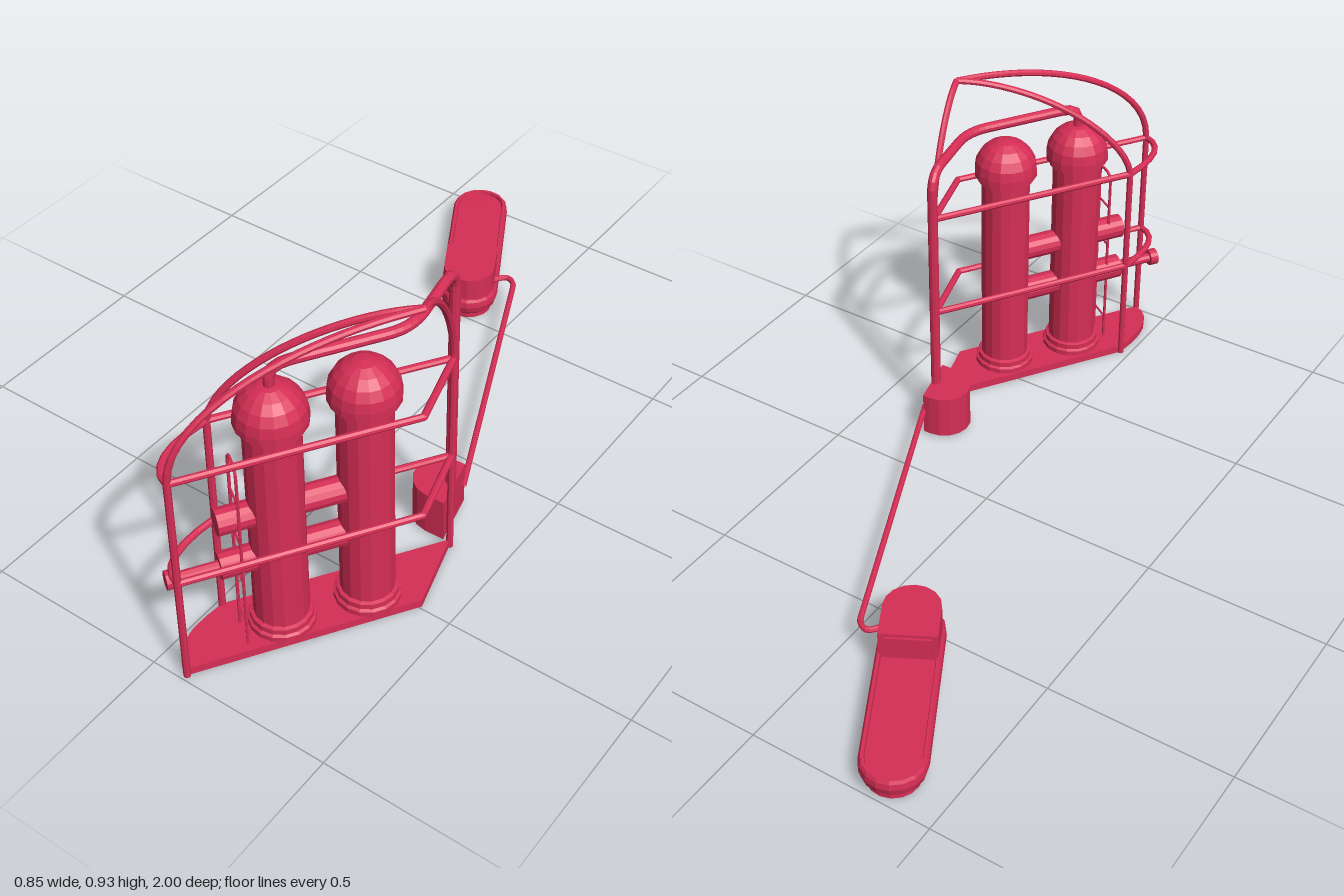
import * as THREE from 'three';

const V = (x, y, z) => new THREE.Vector3(x, y, z);
const crimson = new THREE.MeshStandardMaterial({ color: 0xd62e55, flatShading: true });
crimson.name = 'crimson paint';

export function createModel() {
  const model = new THREE.Group();
  model.name = 'tankStation';

  const add = (name, geometry, parent = model) => {
    const mesh = new THREE.Mesh(geometry, crimson);
    mesh.name = name;
    parent.add(mesh);
    return mesh;
  };
  const group = (name) => {
    const g = new THREE.Group();
    g.name = name;
    model.add(g);
    return g;
  };
  // straight round bar between two points
  const rod = (name, a, b, r, parent, sides = 8) => {
    const mesh = add(name, new THREE.CylinderGeometry(r, r, a.distanceTo(b), sides), parent);
    mesh.position.copy(a).lerp(b, 0.5);
    mesh.quaternion.setFromUnitVectors(V(0, 1, 0), b.clone().sub(a).normalize());
    return mesh;
  };
  // pipe along points with rounded corners
  const pipe = (name, points, r, bend, parent, segments = 64, sides = 10) => {
    const path = new THREE.CurvePath();
    let from = points[0];
    for (let i = 1; i < points.length - 1; i++) {
      const p = points[i];
      const toward = (q) => p.clone().add(q.clone().sub(p).setLength(Math.min(bend, p.distanceTo(q) * 0.45)));
      const a = toward(points[i - 1]), b = toward(points[i + 1]);
      path.add(new THREE.LineCurve3(from, a));
      path.add(new THREE.QuadraticBezierCurve3(a, p, b));
      from = b;
    }
    path.add(new THREE.LineCurve3(from, points[points.length - 1]));
    return add(name, new THREE.TubeGeometry(path, segments, r, sides), parent);
  };
  // flat slab from a plan outline of [x, z] points
  const slab = (name, outline, y, height, parent) => {
    const shape = new THREE.Shape(outline.map(([x, z]) => new THREE.Vector2(x, -z)));
    const geometry = new THREE.ExtrudeGeometry(shape, { depth: height, bevelEnabled: false });
    geometry.rotateX(-Math.PI / 2).translate(0, y, 0);
    return add(name, geometry, parent);
  };

  // Plan of the platform: three straight sides and one bowed end
  const A = [0.355, 0.285], B = [0.415, 0.493], C = [0.09, 0.985], D = [0.027, 0.78];
  const bow = new THREE.QuadraticBezierCurve(
    new THREE.Vector2(...C), new THREE.Vector2(0, 0.96), new THREE.Vector2(...D));
  const plan = [A, B, ...bow.getPoints(6).map((p) => [p.x, p.y])];
  slab('platform', plan, 0, 0.022);

  // Cage: posts, rails and arches that meet above one corner
  const cage = group('cage');
  const bar = 0.009, eave = 0.617, apexY = 0.925;
  for (const [x, z] of [A, C, D]) rod('post', V(x, 0, z), V(x, eave, z), bar, cage);
  for (const y of [0.31, eave]) {
    plan.forEach(([x, z], i) => {
      const [nx, nz] = plan[(i + 1) % plan.length];
      rod('rail', V(x, y, z), V(nx, y, nz), bar, cage);
      add('railJoint', new THREE.SphereGeometry(bar, 8, 6), cage).position.set(x, y, z);
    });
  }
  for (const [[x, z], power] of [[A, 1.6], [C, 2], [D, 1.6]]) {
    const points = [];
    for (let i = 0; i <= 10; i++) {
      const t = (i / 10) * Math.PI / 2;
      const run = 1 - Math.cos(t) ** (2 / power), rise = Math.sin(t) ** (2 / power);
      points.push(V(x + (B[0] - x) * run, eave + (apexY - eave) * rise, z + (B[1] - z) * run));
    }
    add('arch', new THREE.TubeGeometry(new THREE.CatmullRomCurve3(points), 20, bar, 8), cage);
  }

  // Two domed tanks
  const tank1 = [0.17, 0.727], tank2 = [0.29, 0.544];
  const profile = [[0, 0.02], [0.084, 0.02], [0.084, 0.036], [0.077, 0.04], [0.077, 0.055], [0.068, 0.058],
    [0.068, 0.637], [0.077, 0.637], [0.077, 0.652], [0.087, 0.654], [0.087, 0.672]];
  for (let i = 1; i <= 5; i++) {
    const t = (i / 5) * Math.PI / 2;
    profile.push([0.087 * Math.cos(t), 0.672 + 0.086 * Math.sin(t)]);
  }
  for (const [x, z] of [tank1, tank2]) {
    const geometry = new THREE.LatheGeometry(profile.map(([r, y]) => new THREE.Vector2(Math.max(r, 0), y)), 16);
    add('tank', geometry).position.set(x, 0, z);
  }

  // Cross pipes and valve along the line through the tanks
  const along = (t, y) => V(tank1[0] - 0.548 * t, y, tank1[1] + 0.836 * t);
  const plumbing = group('plumbing');
  for (const y of [0.39, 0.25]) rod('crossPipe', along(-0.2, y), along(0.145, y), 0.034, plumbing, 14);
  rod('valveStem', along(0.14, 0.25), along(0.26, 0.25), 0.014, plumbing, 10);
  rod('valveWheel', along(0.248, 0.25), along(0.272, 0.25), 0.024, plumbing, 14);

  // Slim ladder with a rounded top
  const ladder = group('ladder');
  const side = (s, y) => V(0.1275 + 0.0275 * s, y, 0.82 + 0.019 * s);
  pipe('ladderFrame', [side(-1, 0.02), side(-1, 0.58), side(1, 0.58), side(1, 0.02)], 0.004, 0.028, ladder, 90, 6);
  for (const y of [0.09, 0.22, 0.345, 0.47]) rod('rung', side(-1, y), side(1, y), 0.003, ladder, 6);

  // Overhead pipe down to the pump box
  pipe('overheadPipe', [V(0.17, 0.74, 0.727), V(0.17, 0.811, 0.727), V(0.35, 0.811, 0.445),
    V(0.305, 0.811, 0.21), V(0.305, 0.12, 0.21)], 0.0135, 0.06, plumbing);

  // Pump box with one rounded side
  const box = [[0.30, 0.138], [0.335, 0.285]];
  for (let i = 0; i <= 8; i++) {
    const t = Math.PI / 2 + (i / 8) * Math.PI;
    box.push([0.28 + 0.075 * Math.cos(t), 0.212 + 0.074 * Math.sin(t)]);
  }
  slab('pumpBox', box, 0.01, 0.126);

  // Long feed line with a hooked end
  pipe('feedLine', [V(0.31, 0.08, 0.16), V(-0.04, 0.08, -0.63), V(-0.072, 0.08, -0.645),
    V(-0.11, 0.08, -0.59)], 0.008, 0.02, plumbing, 100, 8);

  // Capsule shaped float, built along its own z axis
  const float = group('float');
  float.position.set(-0.2485, 0, -0.74);
  float.rotation.y = Math.atan2(0.197, 0.36);
  const half = 0.205, arc = 8;
  const capsule = (r) => {
    const loop = [];
    for (const end of [1, -1]) {
      for (let i = 0; i <= arc; i++) {
        const t = (i / arc) * Math.PI;
        loop.push([end * r * Math.cos(t), end * (half + r * Math.sin(t))]);
      }
    }
    return loop;
  };
  const sections = [[0.002, 0], [0.066, 0], [0.066, 0.014], [0.078, 0.026], [0.083, 0.045],
    [0.081, 0.062], [0.076, 0.07], [0.068, 0.07], [0.066, 0.06], [0.002, 0.06]];
  const position = [], index = [], n = 2 * (arc + 1);
  sections.forEach(([r, y], k) => {
    capsule(r).forEach(([x, z], i) => {
      position.push(x, y, z);
      if (k === 0) return;
      const j = (i + 1) % n, lo = (k - 1) * n, hi = k * n;
      index.push(lo + i, hi + i, lo + j, lo + j, hi + i, hi + j);
    });
  });
  // narrow strips closing the bottom and the deck
  for (const [base, up] of [[0, false], [(sections.length - 1) * n, true]]) {
    for (let i = 1; i < n - 1; i++) {
      index.push(base, ...(up ? [base + i + 1, base + i] : [base + i, base + i + 1]));
    }
  }
  const hull = new THREE.BufferGeometry();
  hull.setAttribute('position', new THREE.Float32BufferAttribute(position, 3));
  hull.setIndex(index);
  hull.computeVertexNormals();
  add('hull', hull, float);

  // Round-ended cabin with a flat rear panel
  const cabin = capsule(0.073).slice(0, arc + 1);
  cabin.push([-0.073, 0.105], [0.073, 0.105]);
  slab('cabin', cabin, 0.055, 0.083, float);
  add('cabinPanel', new THREE.BoxGeometry(0.116, 0.058, 0.008), float).position.set(0, 0.1, 0.103);

  return model;
}
